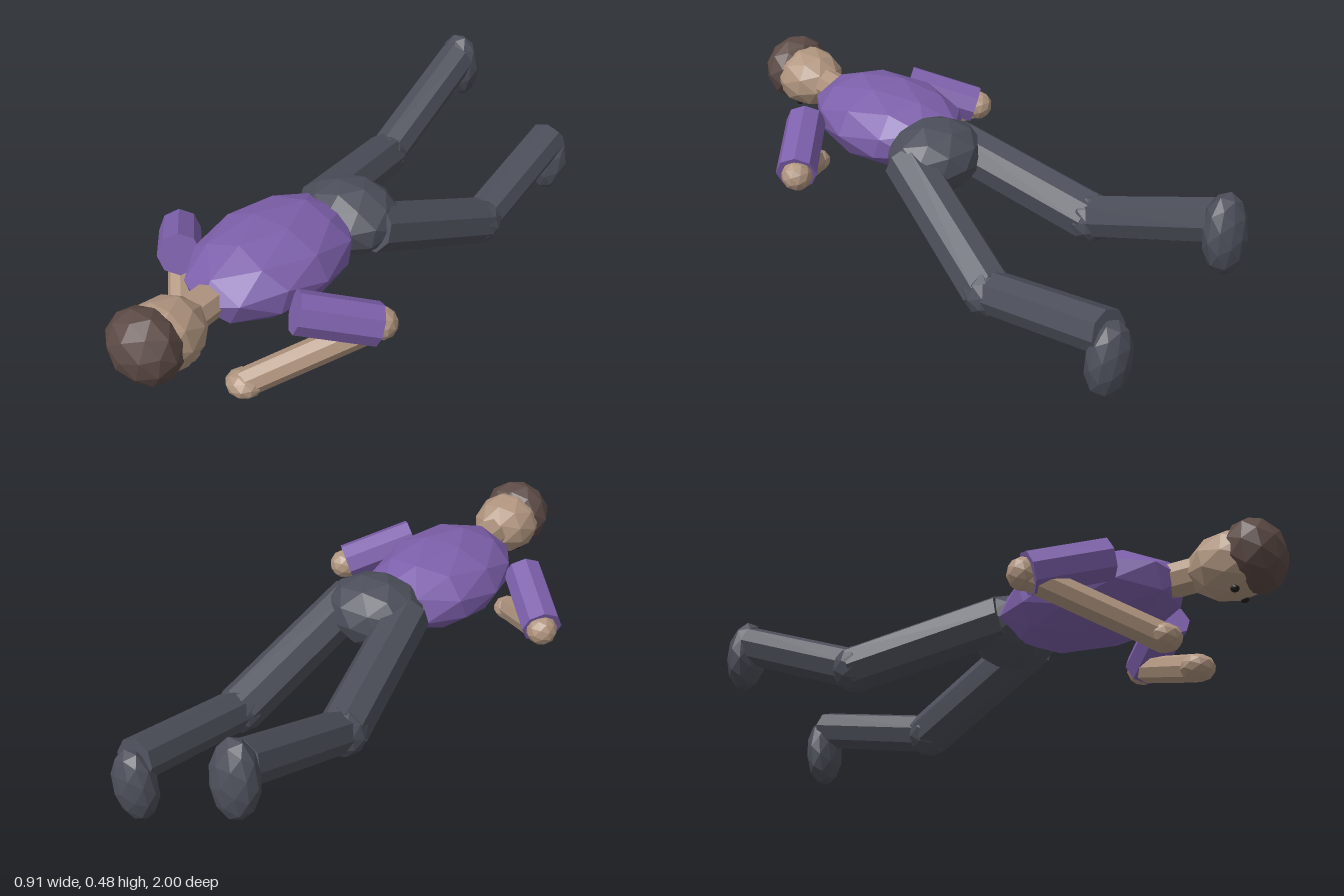
import * as THREE from 'three';

const mat = (name, color) => {
  const m = new THREE.MeshStandardMaterial({ color, flatShading: true });
  m.name = name;
  return m;
};

export function createModel() {
  const skin = mat('skin', 0xb0957f);
  const hairBrown = mat('hair brown', 0x5c4a45);
  const shirt = mat('shirt purple', 0x7d60ab);
  const trousers = mat('trousers grey', 0x4c4f5a);
  const eyeDark = mat('eye dark', 0x241e1e);

  const figure = new THREE.Group();
  figure.name = 'proneFigure';
  const V = (p) => new THREE.Vector3(...p);

  // Faceted ellipsoid with its pole along z
  const blob = (name, material, center, radii) => {
    const g = new THREE.IcosahedronGeometry(1, 1);
    g.rotateZ(-Math.atan2(1, (1 + Math.sqrt(5)) / 2));
    g.rotateY(Math.PI / 2);
    g.rotateX(Math.PI / 2);
    g.scale(...radii);
    g.computeVertexNormals();
    const m = new THREE.Mesh(g, material);
    m.name = name;
    m.position.set(...center);
    figure.add(m);
    return m;
  };

  // Eight-sided rod between two joints
  const limb = (name, material, from, to, r0, r1 = r0) => {
    const a = V(from), b = V(to), d = b.clone().sub(a);
    const m = new THREE.Mesh(new THREE.CylinderGeometry(r1, r0, d.length(), 8), material);
    m.name = name;
    m.position.copy(a).add(b).multiplyScalar(0.5);
    m.quaternion.setFromUnitVectors(new THREE.Vector3(0, 1, 0), d.normalize());
    figure.add(m);
    return m;
  };

  // Trunk
  blob('torso', shirt, [0, 0.308, 0.36], [0.217, 0.133, 0.32]);
  blob('hips', trousers, [0.06, 0.31, 0.04], [0.172, 0.12, 0.146]);

  // Head, face down
  limb('neck', skin, [0, 0.31, 0.55], [0, 0.31, 0.76], 0.056);
  blob('head', skin, [0, 0.308, 0.835], [0.115, 0.108, 0.145]);
  blob('hair', hairBrown, [0, 0.32, 0.905], [0.124, 0.118, 0.095]);

  // Arms, mirrored
  for (const s of [1, -1]) {
    const side = s > 0 ? 'left' : 'right';
    const elbow = [s * 0.402, 0.232, 0.345];
    const hand = [s * 0.125, 0.065, 0.65];
    limb(side + 'UpperArm', shirt, [s * 0.228, 0.308, 0.53], [s * 0.398, 0.233, 0.355], 0.068);
    blob(side + 'Elbow', skin, elbow, [0.052, 0.052, 0.052]);
    limb(side + 'Forearm', skin, elbow, hand, 0.045);
    blob(side + 'Hand', skin, hand, [0.06, 0.042, 0.055]);
    blob(side + 'Eye', eyeDark, [s * 0.04, 0.211, 0.845], [0.014, 0.012, 0.014]);
  }

  // Legs, each with its own bend
  const legs = [
    { side: 'left', hip: [0.163, 0.312, 0.06], knee: [0.265, 0.11, -0.43],
      ankle: [0.262, 0.215, -0.9], foot: [0.263, 0.13, -0.908], tilt: -0.03 },
    { side: 'right', hip: [-0.047, 0.312, 0.06], knee: [-0.152, 0.21, -0.45],
      ankle: [-0.16, 0.405, -0.92], foot: [-0.16, 0.37, -0.942], tilt: 0.1 },
  ];
  for (const { side, hip, knee, ankle, foot, tilt } of legs) {
    limb(side + 'Thigh', trousers, hip, knee, 0.08);
    blob(side + 'Knee', trousers, knee, [0.08, 0.08, 0.08]);
    limb(side + 'Shin', trousers, knee, ankle, 0.068);
    blob(side + 'Foot', trousers, foot, [0.079, 0.128, 0.058]).rotation.x = tilt;
  }
  return figure;
}
